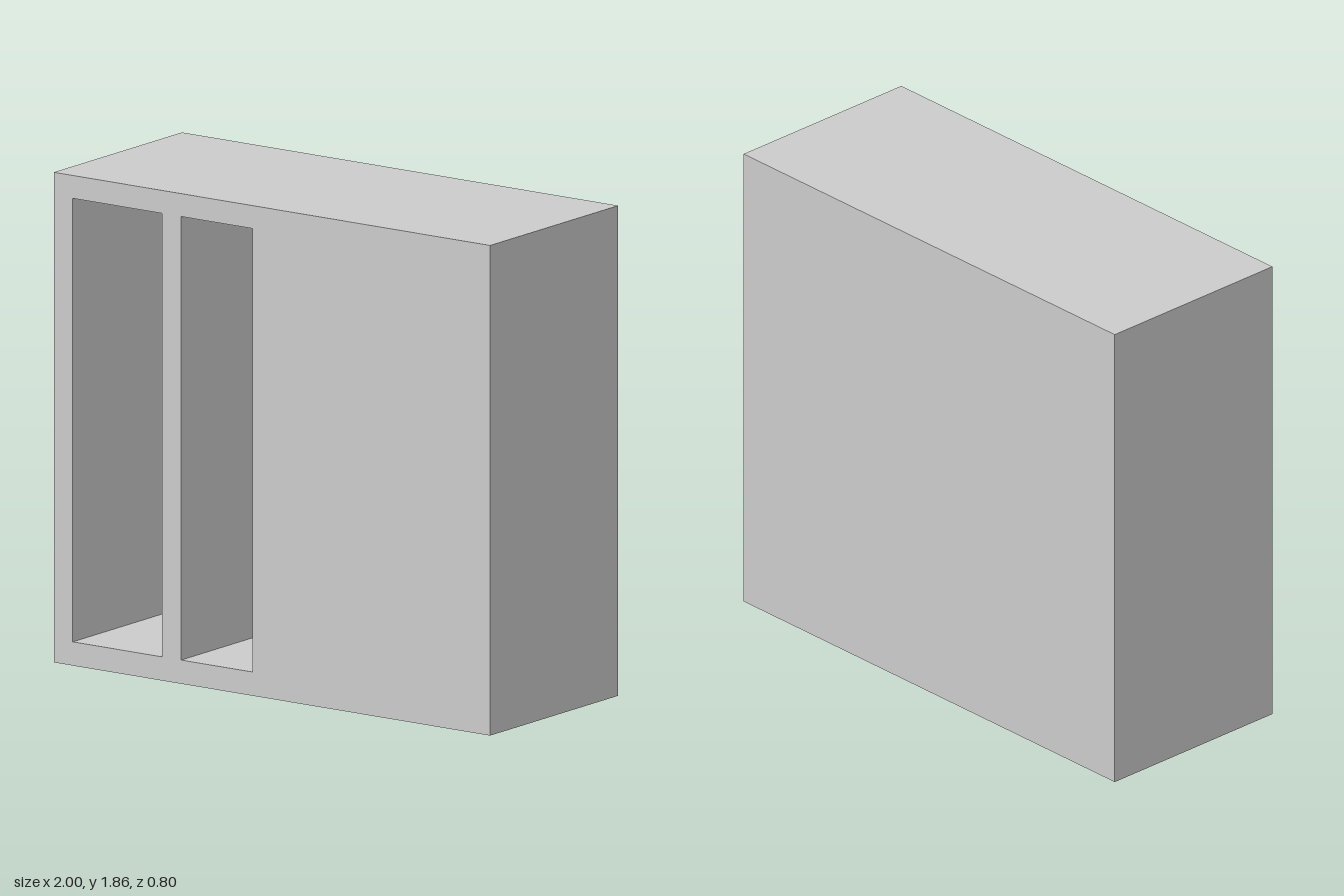
import * as THREE from 'three';

const W = 2, H = 1.86, D = 0.8, WALL = 0.088;
const BOTTOM = 0.09, TOP = 1.773;
// left and right edge of each compartment
const BAYS = [[-0.913, -0.503], [-0.416, -0.088]];

// Box without its front face; inward turns the faces to the inside
function openBox(w, h, d, inward) {
  const geo = new THREE.BoxGeometry(w, h, d);
  let index = Array.from(geo.index.array);
  index.splice(24, 6);
  if (inward) index = index.reverse();
  geo.setIndex(index);
  geo.clearGroups();
  geo.computeVertexNormals();
  return geo;
}

function rectangle(path, x0, y0, x1, y1) {
  path.moveTo(x0, y0);
  path.lineTo(x1, y0);
  path.lineTo(x1, y1);
  path.lineTo(x0, y1);
  path.closePath();
  return path;
}

export function createModel() {
  const group = new THREE.Group();
  group.name = 'cabinet';
  const material = new THREE.MeshStandardMaterial({ color: 0xcccccc });

  const add = (name, geometry, x, y, z) => {
    const mesh = new THREE.Mesh(geometry, material);
    mesh.name = name;
    mesh.position.set(x, y, z);
    group.add(mesh);
  };

  // Outer sides, top, bottom and back
  add('casing', openBox(W, H, D, false), 0, H / 2, 0);

  // Front face with the compartment openings
  const front = rectangle(new THREE.Shape(), -W / 2, 0, W / 2, H);
  for (const [x0, x1] of BAYS) {
    front.holes.push(rectangle(new THREE.Path(), x0, BOTTOM, x1, TOP));
  }
  add('frontPanel', new THREE.ShapeGeometry(front), 0, 0, D / 2);

  // Deep compartments, closed by the back wall
  const depth = D - WALL;
  BAYS.forEach(([x0, x1], i) => {
    add(`compartment${i + 1}`, openBox(x1 - x0, TOP - BOTTOM, depth, true),
      (x0 + x1) / 2, (BOTTOM + TOP) / 2, D / 2 - depth / 2);
  });

  return group;
}
